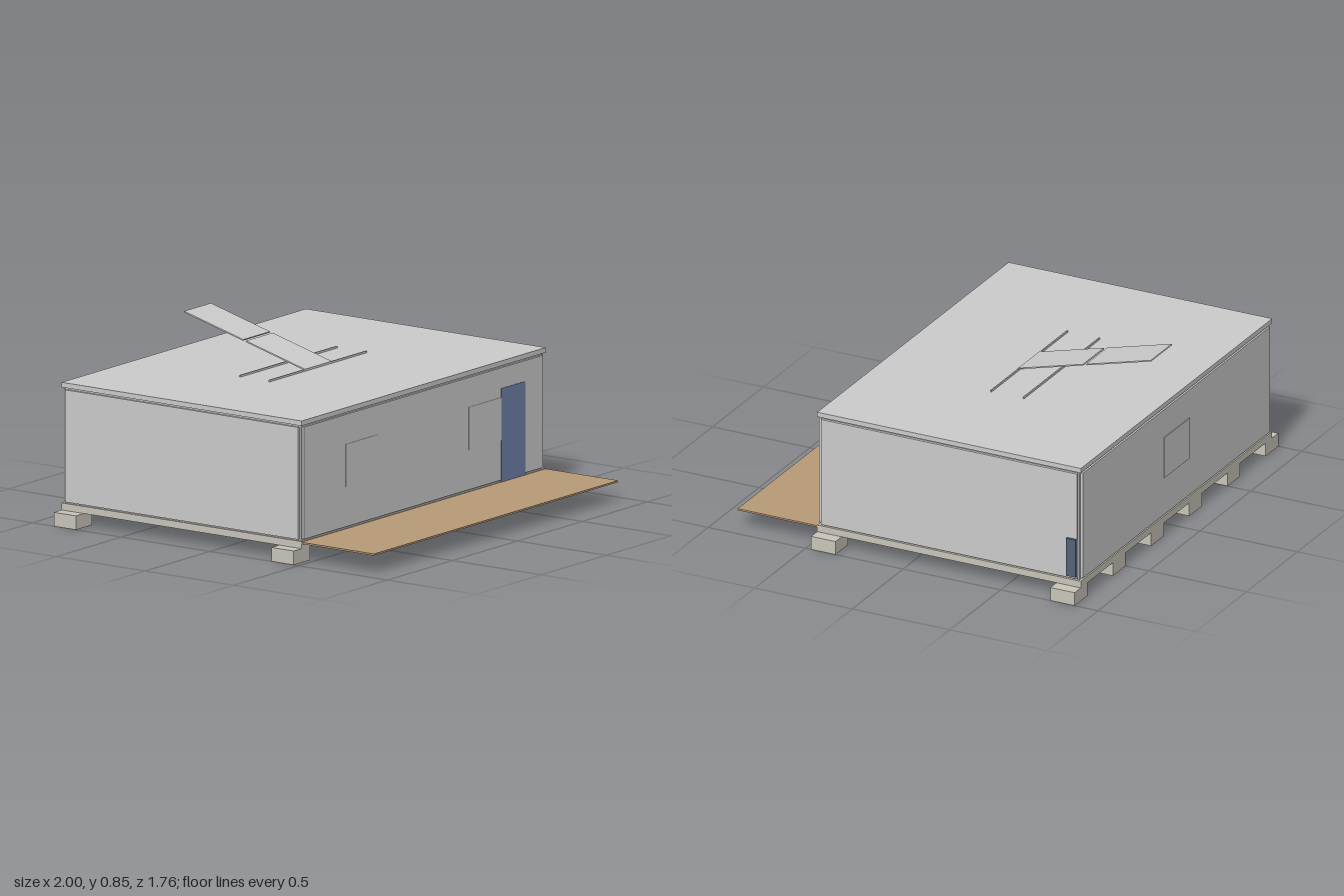
import * as THREE from 'three';

const material = (color) => new THREE.MeshStandardMaterial({ color });

export function createModel() {
  const model = new THREE.Group();
  const grey = material(0xcccccc);
  const concrete = material(0xc9c5ba);
  const wood = material(0xb89b78);
  const doorBlue = material(0x7080a8);
  const cabinetBlue = material(0x56627a);

  // Box given by its limits on each axis
  function box(name, [x0, x1], [y0, y1], [z0, z1], mat = grey) {
    const mesh = new THREE.Mesh(new THREE.BoxGeometry(x1 - x0, y1 - y0, z1 - z0), mat);
    mesh.position.set((x0 + x1) / 2, (y0 + y1) / 2, (z0 + z1) / 2);
    mesh.name = name;
    model.add(mesh);
    return mesh;
  }

  const W = 0.94, back = -0.88, front = 0.472;

  // Foundation blocks along the front and back edges
  for (let i = 0; i < 6; i++) {
    const x = -1 + i * 0.375;
    box('foundationBlock', [x, x + 0.125], [0, 0.065], [0.347, front], concrete);
    box('foundationBlock', [x, x + 0.125], [0, 0.065], [back, -0.755], concrete);
  }

  // Floor slab, recessed core and roof slab
  box('floor', [-W, W], [0.065, 0.098], [back, front], concrete);
  box('core', [-W + 0.012, W - 0.012], [0.098, 0.637], [back + 0.012, front - 0.012]);
  box('roof', [-W, W], [0.637, 0.66], [back, front]);

  // Wall panels stop short of the corners and the slabs
  const wallY = [0.105, 0.628], gap = 0.02;
  box('frontWall', [-W + gap, W - gap], wallY, [front - 0.02, front]);
  box('backWall', [-W + gap, W - gap], wallY, [back, back + 0.02]);
  box('leftWall', [W - 0.02, W + 0.001], wallY, [back + gap, front - gap]);
  box('rightWall', [-W - 0.001, -W + 0.02], wallY, [back + gap, front - gap]);

  // Flush windows, door and side cabinet
  const windowY = [0.29, 0.49];
  box('frontWindow', [-0.6, -0.35], windowY, [front - 0.01, front + 0.002]);
  box('frontWindow', [0.345, 0.595], windowY, [front - 0.01, front + 0.002]);
  box('backWindow', [-0.125, 0.125], windowY, [back - 0.004, back + 0.01]);
  box('door', [0.595, 0.78], [0.096, 0.532], [front - 0.01, front + 0.003], doorBlue);
  box('sideCabinet', [W - 0.01, 0.953], [0.117, 0.303], [-0.86, -0.81], cabinetBlue);

  // Front deck
  box('deck', [-W, W], [0.087, 0.095], [front, 0.88], wood);

  // Roof rails and the two tilted panels
  for (const z of [-0.124, -0.29]) {
    box('roofRail', [-0.374, 0.374], [0.66, 0.669], [z - 0.003, z + 0.003]);
  }
  const tilt = Math.atan2(0.18, 0.68);
  for (const [z, y] of [[-0.288, 0.711], [-0.636, 0.803]]) {
    const panel = box('solarPanel', [-0.104, 0.102], [y - 0.003, y + 0.003], [z - 0.172, z + 0.172]);
    panel.rotation.x = tilt;
  }

  return model;
}
